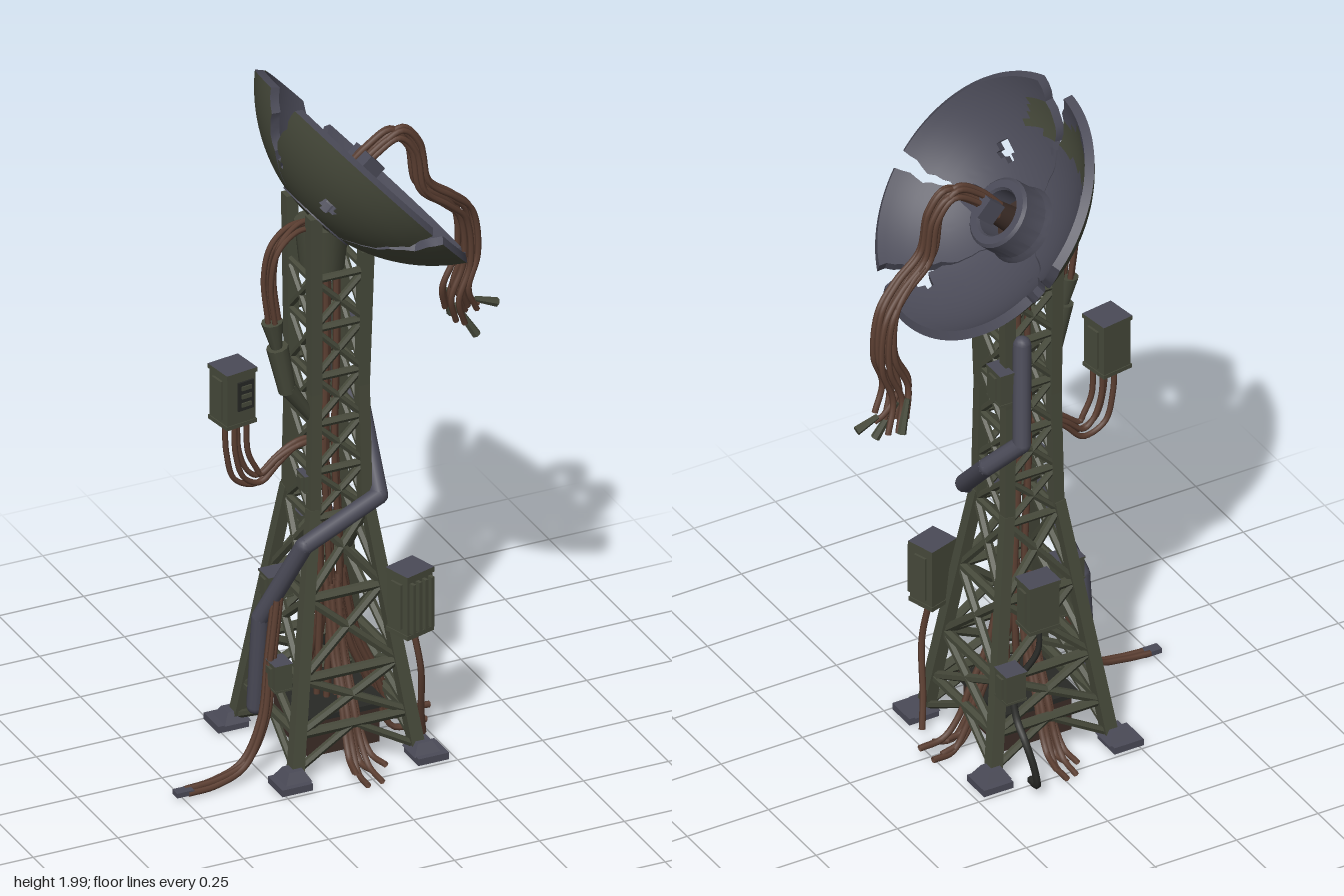
import * as THREE from 'three';
import { toCreasedNormals } from 'three/addons/utils/BufferGeometryUtils.js';

const V = (x, y, z) => new THREE.Vector3(x, y, z);
const mat = (name, color) => Object.assign(new THREE.MeshStandardMaterial({ color, side: THREE.DoubleSide }), { name });

export function createModel() {
  const root = new THREE.Group();
  const steel = mat('blue grey steel', 0x4b4b58);
  const olive = mat('olive metal', 0x474a3b);
  const brown = mat('rust brown cable', 0x5c3f32);
  const dark = mat('dark panel', 0x282926);
  const rust = mat('dark rust', 0x3c2d27);

  let seed = 7;
  const rnd = () => ((seed = (seed * 16807) % 2147483647) / 2147483647) * 2 - 1;

  function add(name, geo, material, parent = root) {
    const m = new THREE.Mesh(geo, material);
    m.name = name;
    parent.add(m);
    return m;
  }
  function group(name) {
    const g = new THREE.Group();
    g.name = name;
    root.add(g);
    return g;
  }
  // Straight bar between two points: square when sides is 4
  function bar(name, a, b, r, material, parent, sides = 6, r2 = r) {
    const d = b.clone().sub(a);
    const geo = new THREE.CylinderGeometry(r2, r, d.length(), sides);
    if (sides === 4) geo.rotateY(Math.PI / 4);
    const m = add(name, sides < 8 ? toCreasedNormals(geo, 0.6) : geo, material, parent);
    m.position.copy(a).add(b).multiplyScalar(0.5);
    m.quaternion.setFromUnitVectors(V(0, 1, 0), d.normalize());
    return m;
  }
  function cable(name, pts, r, material, parent) {
    const curve = new THREE.CatmullRomCurve3(pts.map(p => V(...p)));
    return add(name, new THREE.TubeGeometry(curve, pts.length * 7, r, 6), material, parent);
  }
  // Loose bundle: strands drift apart towards the far end
  function bundle(name, pts, count, r, near, far, material = brown) {
    const g = group(name);
    for (let i = 0; i < count; i++) {
      const a = i / count * Math.PI * 2, k = 0.7 + 0.5 * rnd();
      const path = pts.map((p, j) => {
        const s = near + (far - near) * (j / (pts.length - 1)) ** 3 * k;
        return [p[0] + Math.cos(a) * s, Math.max(r, p[1] + Math.sin(a * 2 + 1) * s * 0.7), p[2] + Math.sin(a) * s];
      });
      cable('strand', path, r, material, g);
    }
    return g;
  }
  // Equipment box with lid, door and rear bracket
  function box(name, w, h, d, x, y, z, ry = 0) {
    const g = group(name);
    g.position.set(x, y, z);
    g.rotation.y = ry;
    const six = [olive, olive, steel, olive, olive, olive];
    add('case', new THREE.BoxGeometry(w, h, d), six, g);
    add('lid', new THREE.BoxGeometry(w * 1.08, h * 0.08, d * 1.08), six, g).position.y = h * 0.47;
    add('sill', new THREE.BoxGeometry(w * 1.06, h * 0.07, d * 1.06), olive, g).position.y = -h * 0.46;
    for (const s of [-1, 1])
      add('sideRib', new THREE.BoxGeometry(0.008, h * 0.7, d * 0.5), olive, g).position.x = s * (w / 2 + 0.003);
    return g;
  }

  // --- Lattice tower ---
  const cx = -0.015;
  const half = y => y < 0.75 ? 0.182 - 0.108 * (y / 0.75) : 0.074 + 0.004 * Math.cos((y - 0.75) * 9);
  const corner = (i, y) => {
    const h = half(y);
    return V(cx + [1, -1, -1, 1][i % 4] * h, y, [1, 1, -1, -1][i % 4] * h);
  };
  const tower = group('tower');
  for (let i = 0; i < 4; i++) {
    const top = i === 0 || i === 3 ? 1.5 : 1.63;
    bar('lowerLeg', corner(i, 0.01), corner(i, 0.75), 0.026, olive, tower, 4, 0.022);
    bar('upperLeg', corner(i, 0.74), corner(i, 1.1), 0.022, olive, tower, 4);
    bar('upperLeg', corner(i, 1.09), corner(i, top), 0.022, olive, tower, 4, 0.025);
    const p = corner(i, 0);
    const foot = add('footPad', new THREE.BoxGeometry(0.09, 0.02, 0.09), steel, tower);
    foot.position.set(p.x * 1.1, 0.01, p.z * 1.08);
    const shoe = add('footShoe', toCreasedNormals(new THREE.CylinderGeometry(0.03, 0.055, 0.03, 4).rotateY(Math.PI / 4), 0.5), steel, tower);
    shoe.position.set(p.x * 1.04, 0.033, p.z * 1.03);
  }
  const levels = [0.13, 0.28, 0.5, 0.72, 0.86, 1.0, 1.14, 1.29, 1.44];
  levels.forEach((y, j) => {
    const r = y < 0.7 ? 0.014 : 0.011, next = levels[j + 1];
    for (let i = 0; i < 4; i++) {
      bar('crossbar', corner(i, y), corner(i + 1, y), r, olive, tower);
      if (next) {
        bar('brace', corner(i, y), corner(i + 1, next), r * 0.9, olive, tower);
        bar('brace', corner(i + 1, y), corner(i, next), r * 0.9, olive, tower);
      }
      if (j === 0) {
        const mid = corner(i, y).add(corner(i + 1, y)).multiplyScalar(0.5);
        bar('kneeBrace', corner(i, 0.03), mid, 0.011, olive, tower);
        bar('kneeBrace', corner(i + 1, 0.03), mid, 0.011, olive, tower);
      }
    }
  });
  add('towerHead', new THREE.CylinderGeometry(0.075, 0.06, 0.14, 12), olive, tower).position.set(-0.03, 1.5, 0);

  // --- Base housing ---
  add('baseHousing', new THREE.BoxGeometry(0.21, 0.11, 0.21), rust).position.set(cx, 0.075, 0);
  add('baseLid', new THREE.BoxGeometry(0.24, 0.015, 0.24), dark).position.set(cx, 0.138, 0);

  // --- Broken dish ---
  const n = V(0.745, 0.665, 0).normalize(), u = V(-n.y, n.x, 0), w = V(0, 0, 1);
  const R = 0.475, phiMax = 0.93, apex = V(0.085, 1.705, 0).addScaledVector(n, -0.19);
  const centre = apex.clone().addScaledVector(n, R);
  const onDish = (phi, th, rad) => centre.clone().addScaledVector(n, -rad * Math.cos(phi))
    .addScaledVector(u, rad * Math.sin(phi) * Math.cos(th)).addScaledVector(w, rad * Math.sin(phi) * Math.sin(th));
  const past = (q, s) => Math.max(0, q - s) / (1 - s);
  const jag = (q, k) => Math.sin(q * 23 + k) * 1.2 + Math.sin(q * 51 + k * 2) * 0.6;
  // Start and end angle of each fragment as the radius fraction q grows
  const pieces = [
    [q => 1.5 + 15 * past(q, 0.5) + jag(q, 1), q => 99.5 - 2 * past(q, 0.7) + jag(q, 2)],
    [q => 101.5 + 4 * past(q, 0.5) + jag(q, 2), q => 155 - 6 * past(q, 0.5) + jag(q, 3)],
    [q => 156 + 4 * past(q, 0.5) + jag(q, 3), q => 255 - 2 * past(q, 0.7) + jag(q, 4)],
    [q => 256.5 + 14 * past(q, 0.7) + jag(q, 4), q => 360.5 - 3.5 * past(q, 0.5) + jag(q, 1)],
  ];
  const holes = [[0.13, 0.185, 0.027], [0.19, -0.235, 0.024], [-0.29, 0.09, 0.022], [0.23, 0.03, 0.012], [-0.1, -0.2, 0.012]];
  const dish = group('dish');
  const NR = 20;
  for (const [start, end] of pieces) {
    const lists = { inner: [], stain: [], outer: [], edge: [] };
    const NT = Math.round((end(0.5) - start(0.5)) / 3.3);
    const pt = (s, k, rad) => {
      const q = k / NR, a = start(q), b = end(q);
      return onDish(phiMax * q, THREE.MathUtils.degToRad(a + (b - a) * s / NT), rad);
    };
    const keep = (s, k) => {
      if (s < 0 || k < 0 || s >= NT || k >= NR) return k < 0;
      const p = pt(s + 0.5, k + 0.5, R).sub(apex), a = p.dot(u);
      return !holes.some(([ha, hb, hr]) => Math.hypot(a - ha, p.z - hb) < hr);
    };
    const quad = (list, a, b, c, d) => [a, b, c, a, c, d].forEach(p => list.push(p.x, p.y, p.z));
    const In = R - 0.026;
    for (let s = 0; s < NT; s++) for (let k = 0; k < NR; k++) {
      if (!keep(s, k)) continue;
      const m = pt(s + 0.5, k + 0.5, In);
      const stained = m.y > 1.82 && m.y < 1.92 + 0.02 * Math.sin(m.z * 40) && m.z < 0.14 && m.z > -0.26;
      const c = [[s, k], [s + 1, k], [s + 1, k + 1], [s, k + 1]];
      quad(stained ? lists.stain : lists.inner, ...c.map(e => pt(...e, In)));
      quad(lists.outer, ...c.map(e => pt(...e, R)).reverse());
      [[s, k - 1], [s + 1, k], [s, k + 1], [s - 1, k]].forEach((nb, e) => {
        if (keep(...nb)) return;
        const a = c[e], b = c[(e + 1) % 4];
        quad(lists.edge, pt(...a, R), pt(...b, R), pt(...b, In), pt(...a, In));
      });
    }
    for (const [key, list] of Object.entries(lists)) {
      if (!list.length) continue;
      const geo = new THREE.BufferGeometry();
      geo.setAttribute('position', new THREE.Float32BufferAttribute(list, 3));
      add('dish ' + key, toCreasedNormals(geo, 0.5), key === 'inner' || key === 'edge' ? steel : olive, dish);
    }
  }

  // --- Receiver hub at the centre of the dish ---
  const hub = group('hub');
  hub.position.copy(apex);
  hub.quaternion.setFromUnitVectors(V(0, 1, 0), n);
  const ring = [[0.115, 0.01], [0.105, 0.05], [0.1, 0.06], [0.1, 0.135], [0.092, 0.143], [0.07, 0.143], [0.065, 0.135], [0.065, 0.03]];
  add('hubRing', toCreasedNormals(new THREE.LatheGeometry(ring.map(p => new THREE.Vector2(...p)), 28), 0.5), steel, hub);
  add('hubFloor', new THREE.CylinderGeometry(0.066, 0.066, 0.02, 20), rust, hub).position.y = 0.05;
  add('feedStem', new THREE.CylinderGeometry(0.03, 0.04, 0.14, 12), rust, hub).position.y = 0.11;
  add('feedBlock', new THREE.BoxGeometry(0.06, 0.06, 0.09), steel, hub).position.y = 0.2;

  // --- Loose cables hanging from the feed ---
  bundle('feedCables', [[0.06, 1.69, -0.01], [0.12, 1.75, 0], [0.19, 1.785, 0], [0.24, 1.73, 0], [0.265, 1.61, 0],
    [0.34, 1.545, -0.01], [0.4, 1.48, -0.03], [0.415, 1.34, -0.04], [0.38, 1.24, -0.04], [0.405, 1.16, -0.06]], 8, 0.0085, 0.018, 0.045);
  cable('frayedCable', [[0.41, 1.36, -0.04], [0.38, 1.25, -0.05], [0.43, 1.19, -0.06], [0.46, 1.175, -0.06]], 0.008, brown);
  const tips = [[[0.45, 1.19, -0.06], [0.515, 1.165, -0.06]], [[0.38, 1.2, -0.04], [0.44, 1.1, -0.03]], [[0.37, 1.23, -0.08], [0.4, 1.14, -0.1]]];
  for (const [a, b] of tips) bar('cableTip', V(...a), V(...b), 0.008, olive, root, 6, 0.013);

  // --- Cables and connector on the right-hand side ---
  bundle('sideCables', [[-0.07, 1.59, 0.03], [-0.14, 1.595, 0.05], [-0.2, 1.56, 0.07], [-0.22, 1.47, 0.07], [-0.205, 1.32, 0.07]], 4, 0.008, 0.014, 0.016);
  bar('connectorTop', V(-0.21, 1.34, 0.07), V(-0.195, 1.25, 0.07), 0.014, olive, root, 10, 0.03).rotateX(Math.PI);
  bar('connector', V(-0.195, 1.26, 0.07), V(-0.165, 1.12, 0.07), 0.03, olive, root, 10, 0.024);
  bar('connectorTail', V(-0.165, 1.13, 0.07), V(-0.09, 1.02, 0.06), 0.024, olive, root, 10, 0.014);

  // --- Bent conduit winding round the tower ---
  const bends = [[0.03, 1.3, -0.1], [0.06, 1.02, -0.15], [0.125, 0.93, -0.08], [0.09, 0.76, 0.1], [-0.14, 0.67, 0.12], [-0.215, 0.42, 0.01], [-0.215, 0.14, -0.02]];
  const conduit = group('conduit');
  bends.forEach((p, i) => {
    const joint = add('elbow', new THREE.SphereGeometry(0.025, 12, 8), steel, conduit);
    joint.position.set(...p);
    if (i) bar('conduitRun', V(...bends[i - 1]), V(...p), 0.025, steel, conduit, 12);
  });

  // --- Hanging control box and its cables ---
  const control = box('controlBox', 0.09, 0.165, 0.085, -0.305, 1.125, 0.025, 0.15);
  add('controlPanel', new THREE.BoxGeometry(0.05, 0.085, 0.008), dark, control).position.set(0.012, 0.01, 0.044);
  for (let i = 0; i < 3; i++)
    add('switchPlate', new THREE.BoxGeometry(0.03, 0.012, 0.006), olive, control).position.set(0.012, 0.035 - i * 0.025, 0.049);
  for (let i = 0; i < 4; i++) {
    const x = -0.33 + i * 0.018, z = 0.03 + (i % 2) * 0.02;
    cable('controlCable', [[x, 1.05, z], [x + 0.005, 0.95, z], [x + 0.03, 0.865 + i * 0.01, z], [-0.235, 0.84 + i * 0.012, z], [-0.18, 0.89 + i * 0.008, z], [-0.13, 0.935, z], [-0.05, 0.945, z]], 0.008, brown);
  }

  // --- Boxes bolted to the tower ---
  const side = box('leftBox', 0.09, 0.19, 0.08, 0.15, 0.465, 0.165, 0.3);
  for (let i = 0; i < 4; i++)
    add('coolingRib', new THREE.BoxGeometry(0.01, 0.15, 0.02), olive, side).position.set(-0.033 + i * 0.022, 0, 0.045);
  box('rearBox', 0.09, 0.15, 0.07, 0.03, 0.525, -0.185);
  box('rearLowBox', 0.06, 0.09, 0.06, 0.12, 0.3, -0.195);
  box('rightBox', 0.07, 0.07, 0.06, -0.15, 0.49, -0.03);
  box('rightLowBox', 0.05, 0.08, 0.06, -0.205, 0.29, 0.1);
  box('upperBox', 0.04, 0.1, 0.07, 0.085, 1.18, -0.08);
  box('smallBox', 0.03, 0.05, 0.05, -0.1, 0.825, 0.05);
  cable('rearHose', [[0.12, 0.27, -0.2], [0.12, 0.2, -0.23], [0.12, 0.16, -0.27], [0.11, 0.09, -0.3], [0.1, 0.03, -0.3], [0.09, 0.015, -0.25]], 0.011, dark);
  cable('rearBoxCable', [[0.03, 0.46, -0.19], [0.04, 0.38, -0.2], [0.08, 0.32, -0.19], [0.11, 0.3, -0.19]], 0.009, dark);
  cable('leftBoxCable', [[0.16, 0.38, 0.16], [0.18, 0.25, 0.17], [0.2, 0.1, 0.13], [0.22, 0.015, 0.1]], 0.009, brown);

  // --- Core cables and roots spreading over the ground ---
  bundle('coreCables', [[cx, 0.12, 0], [cx + 0.01, 0.5, 0], [cx - 0.01, 0.9, 0.01], [cx, 1.2, 0], [cx, 1.48, 0]], 6, 0.009, 0.03, 0.03);
  for (let i = 0; i < 4; i++) {
    const a = i * Math.PI / 2, c = Math.cos(a), s = Math.sin(a);
    if (i === 2) continue;
    const at = (d, y) => [cx + c * d, y, s * d];
    bundle('rootCables', [at(0.03, 0.5), at(0.07, 0.3), at(0.13, 0.16), at(0.16, 0.08), at(0.2, 0.025), at(0.26, 0.01)], 6, 0.009, 0.018, 0.045);
  }
  bundle('trailingCable', [[-0.19, 0.5, 0.06], [-0.22, 0.33, 0.08], [-0.25, 0.16, 0.1], [-0.31, 0.05, 0.11], [-0.4, 0.02, 0.12], [-0.48, 0.012, 0.12]], 3, 0.009, 0.01, 0.012);
  add('trailingTip', new THREE.BoxGeometry(0.05, 0.014, 0.03), steel).position.set(-0.495, 0.012, 0.12);
  return root;
}
